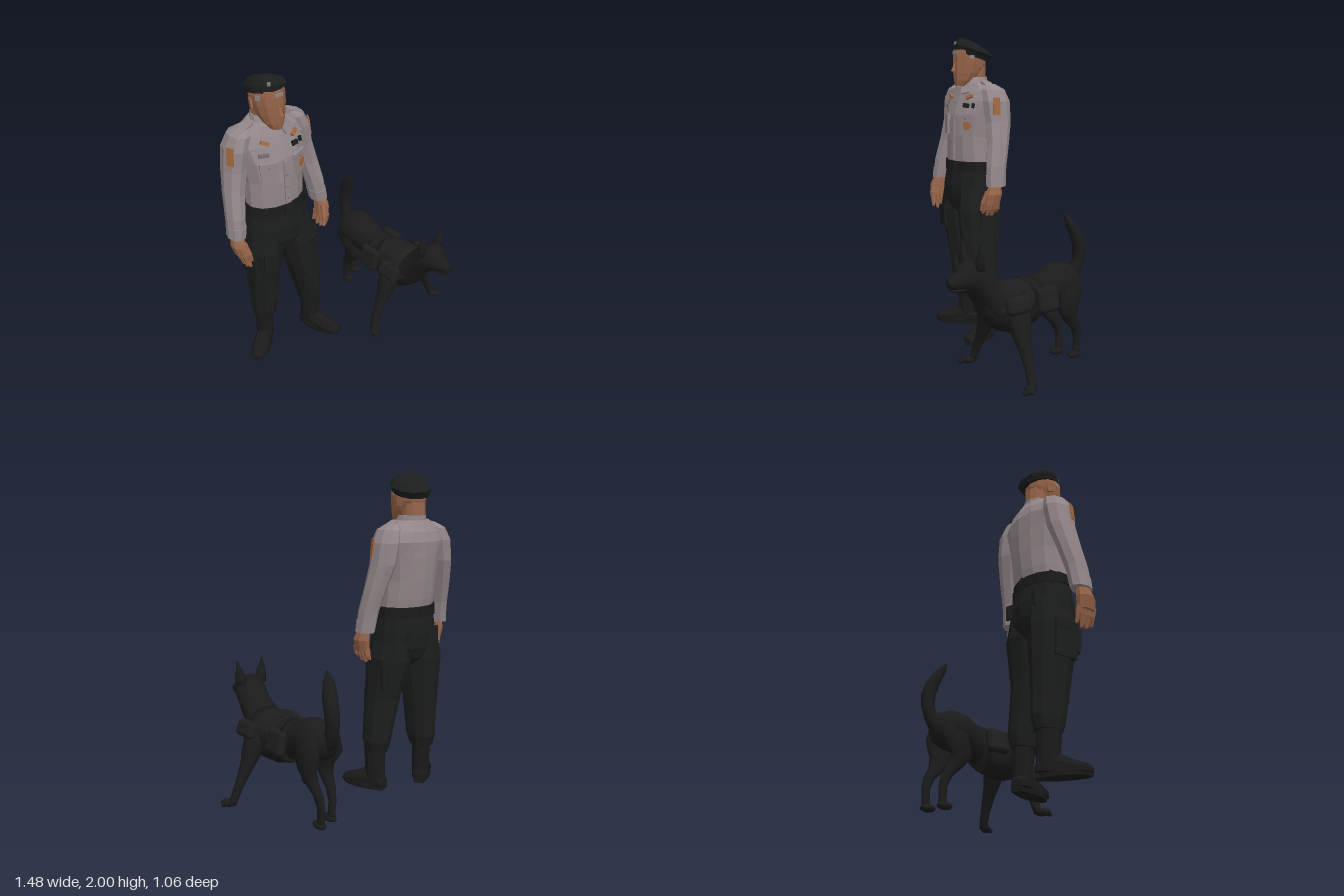
import * as THREE from 'three';
import { RoundedBoxGeometry } from 'three/addons/geometries/RoundedBoxGeometry.js';

const mat = (name, color) => Object.assign(new THREE.MeshStandardMaterial({ color }), { name });
const M = {
  skin: mat('skin', 0x976449), shirt: mat('shirt grey', 0x93878a), seam: mat('shirt shadow grey', 0x7b7073),
  trousers: mat('trouser black', 0x1c1d1d), boots: mat('boot black', 0x1a1a1a), cap: mat('cap black', 0x1c1e1e),
  patch: mat('patch orange', 0xa3683f), hair: mat('hair grey', 0x8b8886),
  fur: mat('fur black', 0x1b1b1c), harness: mat('harness black', 0x1e1e1f),
};

// Skin through elliptical sections [x, y, z, a, b], stacked along y or z.
function loft(secs, { axis = 'y', n = 12, flat = true, floor = -9 } = {}) {
  const pos = [], idx = [];
  for (const [x, y, z, a, b] of secs) for (let i = 0; i < n; i++) {
    const t = (i + 0.5) / n * Math.PI * 2, c = a * Math.cos(t), s = b * Math.sin(t);
    pos.push(x + c, Math.max(floor, axis === 'y' ? y : y + s), axis === 'y' ? z + s : z);
  }
  const last = secs.length - 1, c0 = pos.length / 3;
  pos.push(...secs[0].slice(0, 3), ...secs[last].slice(0, 3));
  for (let i = 0; i < n; i++) {
    const j = (i + 1) % n;
    for (let k = 0; k < last; k++) {
      const p = k * n;
      idx.push(p + i, p + n + i, p + j, p + j, p + n + i, p + n + j);
    }
    idx.push(c0, i, j, c0 + 1, last * n + j, last * n + i);
  }
  // Turn the faces outward for either stacking direction
  const up = secs[last][axis === 'y' ? 1 : 2] > secs[0][axis === 'y' ? 1 : 2];
  if (up === (axis === 'z')) for (let i = 0; i < idx.length; i += 3) [idx[i], idx[i + 1]] = [idx[i + 1], idx[i]];
  let g = new THREE.BufferGeometry();
  g.setAttribute('position', new THREE.Float32BufferAttribute(pos, 3));
  g.setIndex(idx);
  if (flat) g = g.toNonIndexed();
  g.computeVertexNormals();
  return g;
}

function add(parent, name, geo, material, p = [0, 0, 0], r = [0, 0, 0], s = [1, 1, 1]) {
  const m = new THREE.Mesh(geo, material);
  m.name = name;
  m.position.set(...p); m.rotation.set(...r); m.scale.set(...s);
  parent.add(m);
  return m;
}
const box = (w, h, d) => new THREE.BoxGeometry(w, h, d);
const flip = (secs, side, cx) => secs.map(([x, y, z, a, b]) => [cx + side * x, y, z, a, b]);

function buildHandler() {
  const g = new THREE.Group(); g.name = 'handler';
  const CX = -0.38;

  // Shirt
  const torso = [
    [CX, 1.17, -.225, .19, .135], [CX, 1.24, -.23, .19, .145], [CX, 1.36, -.235, .19, .155],
    [CX, 1.5, -.245, .212, .155], [CX, 1.59, -.262, .235, .14], [CX, 1.65, -.265, .205, .12], [CX, 1.715, -.262, .12, .09]];
  add(g, 'shirt', loft(torso, { n: 14 }), M.shirt);
  add(g, 'shirt collar', loft([[-.385, 1.66, -.25, .115, .1], [-.385, 1.7, -.25, .1, .095], [-.385, 1.745, -.265, .085, .078]]), M.shirt);
  // Lay a thin plate on the curved shirt front
  const plate = (name, x, y, w, h, m, d = .009, roll = 0) => {
    let k = 0;
    while (torso[k + 1][1] < y) k++;
    const t = (y - torso[k][1]) / (torso[k + 1][1] - torso[k][1]);
    const [, , cz, a, b] = torso[k].map((v, i) => v + (torso[k + 1][i] - v) * t);
    const u = (x - CX) / a, f = Math.sqrt(1 - u * u);
    add(g, name, box(w, h, d), m, [x, y, cz + b * f], [y > 1.55 ? -.3 : 0, Math.atan2(u / a, f / b), roll]);
  };
  plate('shirt placket', -.385, 1.35, .035, .29, M.shirt);
  for (const y of [1.24, 1.32, 1.4, 1.48]) plate('button', -.385, y, .011, .011, M.seam, .02);
  for (const s of [-1, 1]) {
    const x = CX + s * .105;
    plate('chest pocket', x, 1.43, .1, .12, M.shirt, .014);
    plate('pocket flap', x, 1.485, .106, .038, M.shirt, .022);
    plate('pocket button', x, 1.475, .012, .012, M.seam, .03);
    plate('collar tab', CX + s * .1, 1.615, .05, .02, M.patch, .03, s * .5);
    add(g, 'collar wing', box(.085, .05, .012), M.shirt, [CX + s * .06, 1.665, -.155], [-.5, s * .45, s * .5]);
    add(g, 'epaulette', box(.11, .016, .06), M.shirt, [CX + s * .165, 1.69, -.25], [0, 0, -s * .42]);
  }
  plate('breast badge', -.265, 1.43, .036, .052, M.patch, .03);
  plate('breast badge wings', -.265, 1.435, .05, .028, M.patch, .03);
  plate('ribbon bar', -.29, 1.56, .045, .028, M.trousers, .02);
  plate('ribbon bar', -.24, 1.56, .018, .03, M.trousers, .02);
  plate('name tag', -.5, 1.55, .06, .02, M.seam, .02);

  // Arms and hands
  for (const s of [-1, 1]) {
    const arm = flip([
      [.15, 1.7, -.262, .03, .04], [.185, 1.665, -.265, .062, .085], [.213, 1.59, -.27, .073, .1], [.235, 1.46, -.27, .07, .092],
      [.267, 1.32, -.245, .063, .078], [.292, 1.18, -.212, .057, .072], [.308, 1.05, -.197, .051, .067]], s, CX);
    add(g, 'sleeve', loft(arm, { n: 9 }), M.shirt);
    add(g, 'cuff', loft(flip([[.299, 1.12, -.202, .056, .073], [.308, 1.05, -.197, .054, .07]], s, CX), { n: 9 }), M.shirt);
    add(g, 'sleeve patch', box(.008, .11, .046), M.patch, [CX + s * .279, 1.56, -.225], [0, -s * .45, s * .1]);
    add(g, 'hand', loft(flip([[.31, 1.07, -.19, .032, .04], [.316, 1.0, -.175, .043, .06], [.305, .93, -.165, .036, .06]], s, CX), { n: 8 }), M.skin);
    const low = s < 0 ? .025 : 0;
    for (let i = 0; i < 4; i++) {
      const z = -.21 + i * .031, tip = .85 - low + Math.abs(i - 1.4) * .018;
      add(g, 'finger', loft(flip([[.305, .95, z, .026, .017], [.298, .9, z - .002, .021, .016], [.283, tip, z - .006 + i * .004, .011, .01]], s, CX), { n: 6 }), M.skin);
    }
    add(g, 'thumb', loft(flip([[.305, 1.02, -.14, .024, .022], [.288, .95, -.112, .018, .018], [.275, .895, -.105, .01, .01]], s, CX), { n: 6 }), M.skin);
  }

  // Head
  const HX = -.39;
  add(g, 'neck', loft([[HX, 1.63, -.27, .075, .075], [HX, 1.85, -.26, .074, .078]]), M.skin);
  add(g, 'head', loft([
    [HX, 1.685, -.155, .035, .042], [HX, 1.72, -.178, .06, .072], [HX, 1.77, -.207, .08, .105], [HX, 1.83, -.222, .093, .12],
    [HX, 1.88, -.225, .096, .122], [HX, 1.92, -.22, .088, .115]], { n: 12 }), M.skin);
  add(g, 'nose', new THREE.ConeGeometry(.02, .07, 4).toNonIndexed(), M.skin, [HX, 1.812, -.1], [-.25, 0, 0]);
  for (const s of [-1, 1]) {
    add(g, 'ear', box(.012, .056, .034), M.skin, [HX + s * .094, 1.83, -.245], [-.15, s * .3, 0]);
    add(g, 'temple hair', box(.008, .03, .03), M.hair, [HX + s * .086, 1.878, -.182], [0, -s * .5, 0]);
  }
  add(g, 'fringe hair', box(.05, .02, .008), M.hair, [HX, 1.9, -.107]);
  const cap = new THREE.Group(); cap.name = 'cap';
  cap.position.set(HX, 1.875, -.238); cap.rotation.set(-.26, 0, -.17);
  add(cap, 'cap band', loft([[0, .002, 0, .104, .127], [0, .035, 0, .108, .13]], { n: 12 }), M.boots);
  add(cap, 'cap crown', loft([[0, .025, 0, .11, .131], [.004, .045, 0, .12, .138], [-.008, .074, .018, .1, .108], [-.035, .096, .05, .05, .05]], { n: 10 }), M.cap);
  add(cap, 'cap badge', box(.018, .022, .012), M.seam, [-.05, .052, .12], [0, -.3, 0]);
  g.add(cap);

  // Trousers and belt
  add(g, 'trouser seat', loft([[CX, .82, -.23, .05, .07], [CX, .87, -.225, .12, .13], [CX, .94, -.225, .215, .155], [CX, 1.03, -.225, .213, .16], [-.375, 1.19, -.225, .19, .14]], { n: 14 }), M.trousers);
  add(g, 'belt', loft([[CX, 1.13, -.225, .203, .15], [CX, 1.195, -.225, .198, .147]], { n: 16 }), M.boots);
  add(g, 'belt buckle', box(.065, .05, .012), M.cap, [CX, 1.163, -.073]);
  for (let i = 0; i < 6; i++) {
    const a = (i + .5) / 6 * Math.PI * 2;
    add(g, 'belt loop', box(.02, .075, .01), M.trousers, [CX + .199 * Math.cos(a), 1.16, -.225 + .147 * Math.sin(a)], [0, Math.PI / 2 - a, 0]);
  }
  const legs = [
    [[-.475, 1.03, -.235, .105, .14], [-.49, .86, -.235, .125, .157], [-.49, .62, -.255, .1, .128], [-.488, .47, -.265, .088, .113],
      [-.487, .34, -.275, .082, .103], [-.492, .27, -.275, .068, .082]],
    [[-.285, 1.03, -.215, .105, .14], [-.262, .86, -.21, .125, .157], [-.23, .62, -.185, .1, .128], [-.203, .47, -.19, .088, .113],
      [-.178, .34, -.195, .08, .1], [-.178, .27, -.195, .066, .08]]];
  const stance = [[-.495, -.275, -.9], [-.168, -.19, .35]];
  legs.forEach((leg, i) => {
    const s = i ? 1 : -1, [x, z, turn] = stance[i];
    add(g, 'trouser leg', loft(leg, { n: 10 }), M.trousers);
    add(g, 'knee panel', loft([[leg[2][0], .6, z + .05, .075, .085], [leg[3][0], .45, z + .05, .07, .08]], { n: 8 }), M.trousers);
    add(g, 'cargo pocket', box(.035, .2, .15), M.trousers, [leg[1][0] + s * .098, .77, leg[1][2]], [0, 0, -s * .06]);
    add(g, 'cargo flap', box(.03, .05, .156), M.trousers, [leg[1][0] + s * .107, .855, leg[1][2]]);
    add(g, 'front pocket', box(.085, .14, .02), M.trousers, [leg[1][0] + s * .035, .81, leg[1][2] + .135], [.06, s * .25, 0]);
    add(g, 'back pocket', box(.1, .09, .01), M.trousers, [CX + s * .085, 1.02, -.365], [0, s * .3, 0]);
    // Boot, turned outward
    const boot = new THREE.Group(); boot.name = 'boot';
    boot.position.set(x, 0, z); boot.rotation.y = turn;
    add(boot, 'boot shaft', loft([[0, .06, -.005, .053, .067], [0, .18, -.005, .056, .067], [0, .31, 0, .06, .072]], { n: 10 }), M.boots);
    add(boot, 'boot foot', loft([[0, .06, -.075, .035, .035], [0, .07, -.05, .05, .06], [0, .07, .05, .055, .08], [0, .055, .13, .06, .055],
      [0, .05, .19, .05, .04], [0, .045, .222, .026, .022]], { axis: 'z', n: 10, floor: .035 }), M.boots);
    add(boot, 'boot sole', loft([[0, .018, .074, .056, .148], [0, .042, .074, .058, .151]], { n: 12 }), M.boots);
    add(boot, 'boot heel', box(.07, .03, .055), M.boots, [0, .033, -.045]);
    g.add(boot);
  });
  return g;
}

function buildDog() {
  const g = new THREE.Group(); g.name = 'dog';
  const CX = .405, soft = { flat: false, n: 14 };
  // Body, neck and head in one skin
  add(g, 'dog body', loft([
    [.385, .51, -.455, .04, .05], [.385, .5, -.42, .095, .095], [.385, .5, -.35, .134, .12], [.386, .493, -.26, .12, .125],
    [.39, .458, -.16, .1, .115], [.395, .425, -.08, .104, .14], [.4, .412, 0, .125, .148], [CX, .415, .1, .142, .15],
    [CX, .43, .18, .137, .138], [CX, .49, .235, .11, .15], [CX, .545, .285, .1, .138], [CX, .605, .33, .105, .125],
    [.407, .645, .37, .1, .102], [.408, .652, .41, .08, .08], [.41, .636, .445, .052, .054], [.412, .628, .49, .038, .04],
    [.414, .63, .515, .03, .03], [.414, .635, .525, .012, .014]], { ...soft, axis: 'z', n: 18 }), M.fur);
  add(g, 'dog nose', new THREE.SphereGeometry(.016, 10, 8), M.boots, [.414, .646, .512]);
  add(g, 'dog jaw', loft([[.41, .59, .4, .045, .03], [.412, .583, .45, .03, .018], [.413, .583, .495, .018, .01]], { ...soft, axis: 'z' }), M.fur);
  add(g, 'chest ruff', loft([[CX, .36, .16, .12, .07], [CX, .42, .235, .095, .09], [CX, .5, .3, .075, .09], [CX, .54, .335, .035, .05]], { ...soft, axis: 'z', n: 10 }), M.fur);
  add(g, 'tail', loft([
    [.385, .47, -.42, .04, .045], [.39, .54, -.455, .036, .05], [.4, .62, -.485, .038, .042], [.405, .7, -.485, .044, .044],
    [.4, .78, -.462, .045, .044], [.38, .86, -.425, .034, .034], [.365, .912, -.395, .008, .01]], soft), M.fur);

  for (const s of [-1, 1]) {
    add(g, 'dog ear', loft([[CX + s * .062, .69, .35, .045, .035], [CX + s * .075, .745, .352, .035, .024], [CX + s * .083, .79, .355, .021, .014], [CX + s * .09, .845, .362, .003, .003]], { ...soft, n: 8 }), M.fur);
    // Splayed front leg
    add(g, 'dog front leg', loft(flip([
      [.085, .53, .11, .045, .07], [.12, .42, .115, .068, .078], [.15, .33, .118, .062, .066], [.172, .27, .12, .048, .052], [.208, .2, .122, .037, .04],
      [.245, .12, .128, .028, .03], [.272, .05, .135, .026, .028], [.283, .015, .145, .026, .028]], s, CX), soft), M.fur);
    add(g, 'dog front paw', new THREE.SphereGeometry(1, 12, 8), M.fur, [CX + s * .292, .024, .165], [0, s * .75, 0], [.032, .024, .052]);
    for (let i = -1; i <= 1; i++)
      add(g, 'dog toe', new THREE.SphereGeometry(.015, 8, 6), M.fur, [CX + s * (.313 + i * .009), .016, .193 - i * .018]);
    // Hind leg, the right one a little further forward
    const dz = s < 0 ? .045 : 0;
    add(g, 'dog hind leg', loft(flip([
      [.065, .55, -.34, .05, .085], [.085, .44, -.345, .052, .095], [.08, .34, -.335 + dz, .044, .075], [.07, .27, -.365 + dz, .035, .055],
      [.062, .2, -.42 + dz, .026, .036], [.058, .13, -.44 + dz, .021, .026], [.055, .05, -.435 + dz, .021, .025], [.055, .015, -.43 + dz, .025, .03]], s, .39), soft), M.fur);
    add(g, 'dog hind paw', new THREE.SphereGeometry(1, 12, 8), M.fur, [.39 + s * .055, .024, -.42 + dz], [0, 0, 0], [.032, .024, .052]);
    // Harness pouches
    add(g, 'front pouch', new RoundedBoxGeometry(.065, .105, .165, 3, .03), M.harness, [CX + s * .162, .475, .145], [0, 0, s * .4]);
    add(g, 'rear pouch', new RoundedBoxGeometry(.056, .15, .15, 3, .026), M.harness, [.395 + s * .133, .455, s < 0 ? -.065 : -.115], [0, 0, s * .2]);
  }
  // Harness
  add(g, 'harness vest', loft([[.398, .45, -.04, .121, .122], [.4, .45, 0, .135, .122], [CX, .45, .1, .148, .125], [CX, .46, .185, .138, .118]],
    { ...soft, axis: 'z', n: 18 }), M.harness);
  add(g, 'chest strap', loft([[CX, .43, .175, .142, .075], [CX, .44, .215, .127, .07], [CX, .44, .24, .1, .055]], { ...soft, axis: 'z' }), M.harness);
  add(g, 'belly strap', loft([[.393, .437, -.13, .109, .129], [.395, .428, -.09, .111, .141]], { ...soft, axis: 'z', n: 18 }), M.harness);
  add(g, 'harness handle', new THREE.TorusGeometry(.05, .011, 6, 12, Math.PI), M.harness, [.4, .55, -.02], [0, 0, 0], [1.1, .5, 1]);
  return g;
}

export function createModel() {
  const model = new THREE.Group();
  model.name = 'handlerAndDog';
  model.add(buildHandler(), buildDog());
  return model;
}
